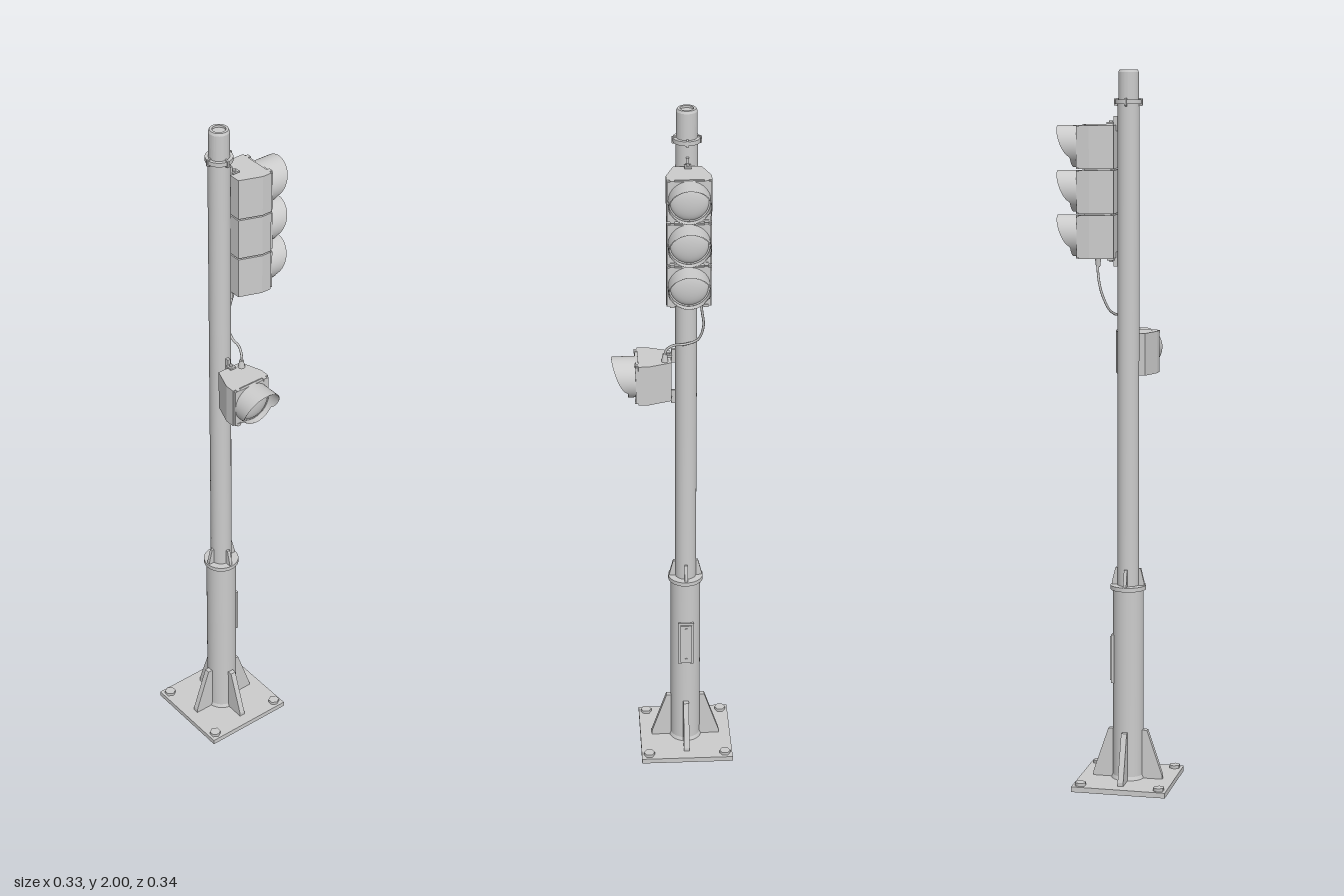
import * as THREE from 'three';

const mat = new THREE.MeshStandardMaterial({ color: 0xcccccc });
const thin = new THREE.MeshStandardMaterial({ color: 0xcccccc, side: THREE.DoubleSide });

function add(parent, name, geo, x = 0, y = 0, z = 0, material = mat) {
  const m = new THREE.Mesh(geo, material);
  m.name = name;
  m.position.set(x, y, z);
  parent.add(m);
  return m;
}
const box = (w, h, d) => new THREE.BoxGeometry(w, h, d);
const cyl = (r, h, n = 32, r2 = r) => new THREE.CylinderGeometry(r2, r, h, n);

// Flat outline extruded symmetrically about its own plane
function slab(points, depth) {
  const s = new THREE.Shape(points.map(p => new THREE.Vector2(...p)));
  return new THREE.ExtrudeGeometry(s, { depth, bevelEnabled: false }).translate(0, 0, -depth / 2);
}

// Four copies of a fin around the pole
function fins(parent, name, points, depth) {
  for (let i = 0; i < 4; i++) add(parent, name, slab(points, depth)).rotation.y = i * Math.PI / 2;
}

// Hood: a tube whose reach depends on height, open and cut away below
function visorGeometry(r) {
  const g = new THREE.CylinderGeometry(r, r, 1, 48, 8, true).rotateX(Math.PI / 2).translate(0, 0, 0.5);
  const p = g.attributes.position;
  for (let i = 0; i < p.count; i++) {
    const t = Math.max(0, (p.getY(i) + 0.028) / (r + 0.028));
    p.setZ(i, p.getZ(i) * (0.02 + 0.045 * Math.pow(t, 0.6)));
  }
  g.computeVertexNormals();
  return g;
}

// One lamp section, facing +z, back face at z = 0, centred on y = 0
function lampSection() {
  const g = new THREE.Group();
  g.name = 'lampSection';
  const outline = [[-0.0375, 0], [0.0375, 0], [0.06, -0.063], [0.06, -0.092], [-0.06, -0.092], [-0.06, -0.063]];
  add(g, 'housing', slab(outline, 0.118).rotateX(-Math.PI / 2));
  add(g, 'door', box(0.114, 0.112, 0.008), 0, 0, 0.095);
  for (const sx of [-1, 1]) for (const sy of [-1, 1])
    add(g, 'doorClip', box(0.012, 0.008, 0.012), sx * 0.045, sy * 0.055, 0.095);
  add(g, 'lensRing', new THREE.TorusGeometry(0.053, 0.003, 8, 48), 0, 0, 0.1);
  const dome = new THREE.SphereGeometry(0.052, 32, 10, 0, Math.PI * 2, 0, Math.PI / 2);
  add(g, 'lens', dome.rotateX(Math.PI / 2).scale(1, 1, 0.35), 0, 0, 0.098);
  add(g, 'visor', visorGeometry(0.057), 0, 0, 0.099, thin);
  add(g, 'visorLining', visorGeometry(0.055), 0, 0, 0.099, thin);
  return g;
}

// Stack of sections with pole brackets at both ends
function signalHead(name, count, offset) {
  const g = new THREE.Group();
  g.name = name;
  const step = 0.122, end = count * step / 2;
  for (let i = 0; i < count; i++) {
    const s = lampSection();
    s.position.set(0, (i - (count - 1) / 2) * step, offset);
    g.add(s);
    if (i) add(g, 'joint', box(0.07, 0.006, 0.075), 0, -end + i * step, offset + 0.045);
  }
  for (const s of [-1, 1]) {
    add(g, 'bracketStrap', box(0.008, 0.04, 0.014), 0, s * (end + 0.002), 0.034);
    add(g, 'bracketTab', box(0.018, 0.005, 0.02), 0, s * (end + 0.003), 0.049);
    add(g, 'bracketBolt', cyl(0.005, 0.006, 12), 0, s * (end + 0.007), 0.049);
  }
  return g;
}

export function createModel() {
  const model = new THREE.Group();
  model.name = 'trafficSignalPost';
  const post = new THREE.Group();
  post.name = 'post';
  post.position.set(-0.033, 0, -0.037);
  model.add(post);

  // Base plate, anchor bolts and gussets
  add(post, 'basePlate', box(0.268, 0.015, 0.268), 0, 0.0075, 0);
  for (const sx of [-1, 1]) for (const sz of [-1, 1])
    add(post, 'anchorBolt', cyl(0.016, 0.009, 6), sx * 0.112, 0.0195, sz * 0.112);
  fins(post, 'baseGusset', [[0.035, 0.015], [0.1, 0.015], [0.1, 0.025], [0.056, 0.155], [0.035, 0.155]], 0.016);

  // Lower pipe, reducer collar and slim pole
  add(post, 'lowerPipe', cyl(0.043, 0.55, 40), 0, 0.285, 0);
  add(post, 'weldRing', cyl(0.047, 0.01, 40, 0.043), 0, 0.02, 0);
  add(post, 'reducerCollar', cyl(0.05, 0.012, 40), 0, 0.566, 0);
  fins(post, 'collarFin', [[0.025, 0.572], [0.046, 0.572], [0.046, 0.58], [0.036, 0.62], [0.025, 0.62]], 0.009);
  add(post, 'pole', cyl(0.03, 1.35, 40), 0, 1.235, 0);

  // Top ring and hollow-topped cap
  add(post, 'topRing', cyl(0.037, 0.012, 40), 0, 1.914, 0);
  const cap = [[0.028, 1.9], [0.028, 1.993], [0.025, 2], [0.018, 2], [0.018, 1.994], [0, 1.994]];
  const capGeo = new THREE.LatheGeometry(cap.map(p => new THREE.Vector2(...p)), 40).toNonIndexed();
  capGeo.computeVertexNormals();
  add(post, 'poleCap', capGeo);
  fins(post, 'ringTab', [[0.025, 1.9], [0.04, 1.904], [0.04, 1.922], [0.025, 1.924]], 0.005);

  // Service hatch on the left of the lower pipe
  add(post, 'hatchFrame', box(0.014, 0.14, 0.044), 0.038, 0.36, 0);
  add(post, 'hatchDoor', box(0.006, 0.126, 0.034), 0.046, 0.36, 0);
  for (const s of [-1, 1])
    add(post, 'hatchScrew', cyl(0.004, 0.004, 8).rotateZ(Math.PI / 2), 0.05, 0.36 + s * 0.052, 0);

  // Three-lamp head facing left, single lamp facing front
  const main = signalHead('vehicleSignal', 3, 0.034);
  main.position.y = 1.67;
  main.rotation.y = Math.PI / 2;
  post.add(main);
  const single = signalHead('singleSignal', 1, 0.042);
  single.position.y = 1.217;
  post.add(single);

  // Cable looping between the heads
  const path = [[0.045, 1.49, -0.07], [0.044, 1.45, -0.075], [0.034, 1.4, -0.08], [0.016, 1.35, -0.065],
    [0.006, 1.332, -0.03], [0.003, 1.328, 0], [-0.003, 1.31, 0.02], [-0.006, 1.27, 0.023]];
  const curve = new THREE.CatmullRomCurve3(path.map(p => new THREE.Vector3(...p)));
  add(model, 'cable', new THREE.TubeGeometry(curve, 48, 0.0035, 8));
  add(model, 'upperGland', cyl(0.006, 0.024, 12, 0.009), 0.045, 1.478, -0.07);
  add(model, 'lowerGland', cyl(0.01, 0.024, 12, 0.006), -0.006, 1.286, 0.023);

  return model;
}
